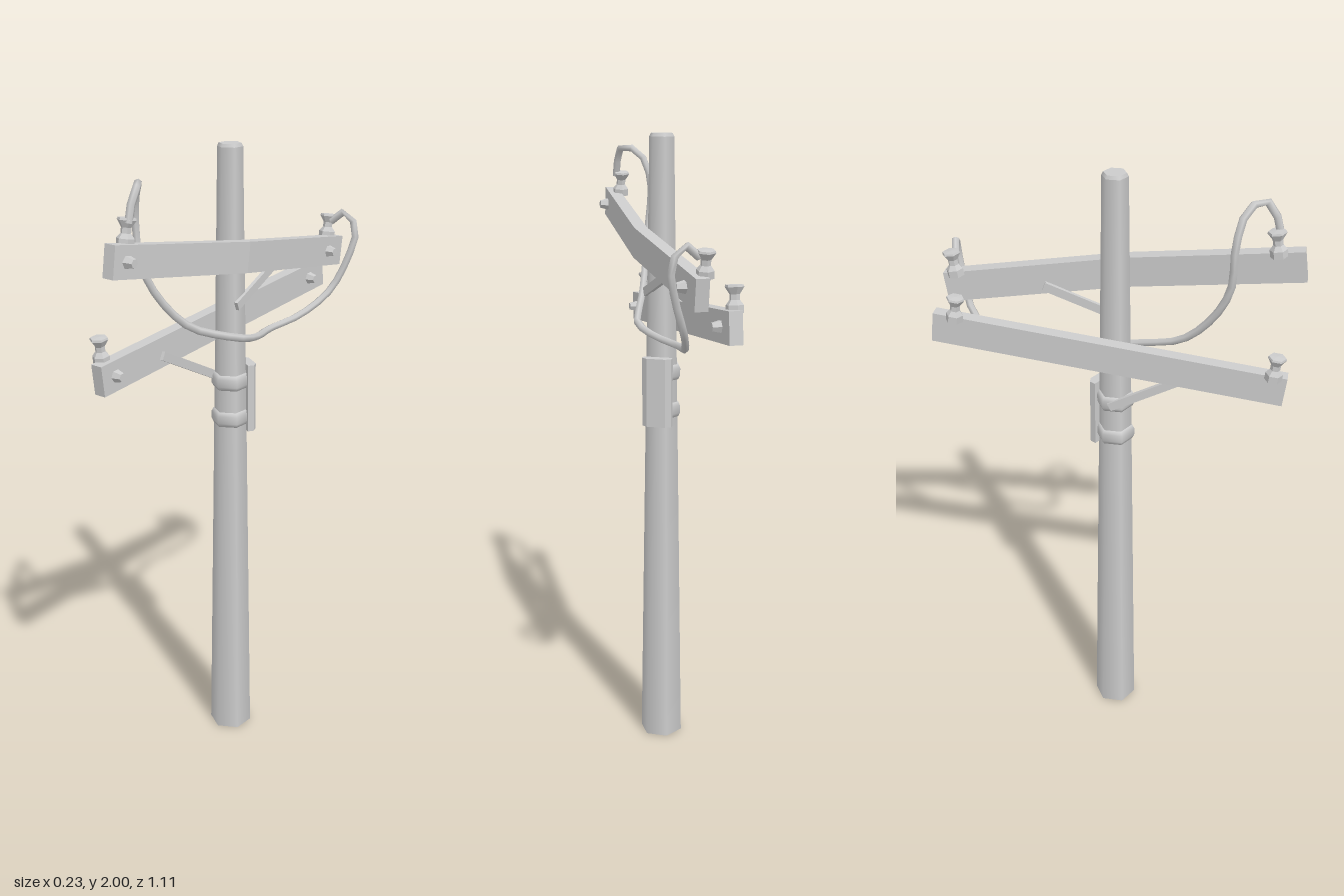
import * as THREE from 'three';

const mat = new THREE.MeshStandardMaterial({ color: 0xcccccc });
const flat = new THREE.MeshStandardMaterial({ color: 0xcccccc, flatShading: true });
const POLE_X = -0.01;

const V = (p) => new THREE.Vector3(...p);

function add(parent, name, geometry, material, position = [0, 0, 0]) {
  const mesh = new THREE.Mesh(geometry, material);
  mesh.name = name;
  mesh.position.set(...position);
  parent.add(mesh);
  return mesh;
}

// Six-sided turned shape from [radius, height] pairs
function turned(points) {
  return new THREE.LatheGeometry(points.map(([r, y]) => new THREE.Vector2(r, y)), 6);
}

// Crossarm running from the front end to the back end, with an optional sideways bend
function crossarm(name, x, front, back, bend, spools, bolts) {
  const arm = new THREE.Group();
  arm.name = name;
  const dz = front[0] - back[0], dy = front[1] - back[1];
  const half = Math.hypot(dz, dy) / 2;
  const bendAt = (z) => bend * (1 - Math.abs(z) / half);
  arm.position.set(x, (front[1] + back[1]) / 2, (front[0] + back[0]) / 2);
  arm.rotation.x = -Math.atan2(dy, dz);

  const beam = new THREE.BoxGeometry(0.04, 0.094, half * 2, 1, 1, 2);
  const p = beam.attributes.position;
  for (let i = 0; i < p.count; i++) p.setX(i, p.getX(i) + bendAt(p.getZ(i)));
  add(arm, 'beam', beam, flat);

  // Insulator spools on the inner top edge
  const profile = [[0, -0.01], [0.026, -0.01], [0.026, 0.012], [0.015, 0.026], [0.015, 0.042],
    [0.028, 0.062], [0.026, 0.068], [0, 0.07]];
  for (const z of spools) {
    add(arm, 'insulator', turned(profile), flat, [-0.02 + bendAt(z), 0.047, z]);
  }
  // Tapered bolt heads on the +x face
  for (const z of bolts) {
    const bolt = add(arm, 'bolt', new THREE.CylinderGeometry(0.013, 0.021, 0.03, 6), flat,
      [0.031 + bendAt(z), 0, z]);
    bolt.rotation.z = -Math.PI / 2;
  }
  return arm;
}

// Flat bar between two points
function brace(parent, name, a, b) {
  const from = V(a), to = V(b);
  const mesh = add(parent, name, new THREE.BoxGeometry(0.012, 0.027, from.distanceTo(to)), flat);
  mesh.position.copy(from).add(to).multiplyScalar(0.5);
  mesh.lookAt(to);
}

export function createModel() {
  const model = new THREE.Group();
  model.name = 'utilityPole';

  // Tapered pole with a slightly bevelled top
  add(model, 'pole', new THREE.CylinderGeometry(0.039, 0.07, 1.99, 6), mat, [POLE_X, 0.995, 0]);
  add(model, 'poleTop', new THREE.CylinderGeometry(0.034, 0.039, 0.01, 6), mat, [POLE_X, 1.995, 0]);

  // Two straps round the pole
  for (const y of [1.145, 1.267]) {
    add(model, 'strap', turned([[0.045, -0.024], [0.055, -0.024], [0.061, -0.012],
      [0.061, 0.012], [0.055, 0.024], [0.045, 0.024]]), mat, [POLE_X, y, 0]);
  }

  // Equipment cover on the back left face of the pole, with bevelled long edges
  const outline = new THREE.Shape();
  outline.moveTo(-0.047, -0.014);
  outline.lineTo(0.047, -0.014);
  outline.lineTo(0.047, 0.006);
  outline.lineTo(0.03, 0.018);
  outline.lineTo(-0.03, 0.018);
  outline.lineTo(-0.047, 0.006);
  const coverGeometry = new THREE.ExtrudeGeometry(outline, { depth: 0.22, bevelEnabled: false });
  coverGeometry.rotateX(-Math.PI / 2).translate(0, -0.11, 0);
  const cover = add(model, 'cover', coverGeometry, flat, [POLE_X + 0.028, 1.21, -0.049]);
  cover.rotation.y = -Math.PI / 6;

  // Crossarms: the upper one is bent round the pole
  model.add(crossarm('upperCrossarm', 0.02, [0.548, 1.75], [-0.52, 1.595], 0.035,
    [0.465, -0.5], [0.49, -0.458]));
  model.add(crossarm('lowerCrossarm', -0.07, [0.52, 1.385], [-0.545, 1.505], 0,
    [0.494, -0.468], [0.482, -0.457]));

  // Braces from the pole to the arms
  brace(model, 'upperBrace', [0.036, 1.517, 0.025], [0.012, 1.62, -0.22]);
  brace(model, 'lowerBrace', [-0.045, 1.405, 0.275], [-0.062, 1.262, -0.01]);

  // Slack wire looping between the upper insulators
  const path = [
    [0.02, 1.84, 0.468], [0.018, 1.9, 0.45], [0.01, 1.94, 0.415], [-0.04, 1.915, 0.37],
    [-0.068, 1.83, 0.35], [-0.058, 1.69, 0.342], [-0.035, 1.58, 0.29], [0.0, 1.485, 0.2],
    [0.042, 1.44, 0.09], [0.062, 1.42, 0.02], [0.04, 1.4, -0.07], [-0.008, 1.388, -0.2],
    [0.015, 1.41, -0.34], [0.05, 1.475, -0.45], [0.088, 1.58, -0.49],
    [0.104, 1.67, -0.507], [0.07, 1.73, -0.5], [0.02, 1.695, -0.488],
  ].map(V);
  const curve = new THREE.CatmullRomCurve3(path, false, 'centripetal');
  add(model, 'wire', new THREE.TubeGeometry(curve, 34, 0.012, 6), mat);

  return model;
}
